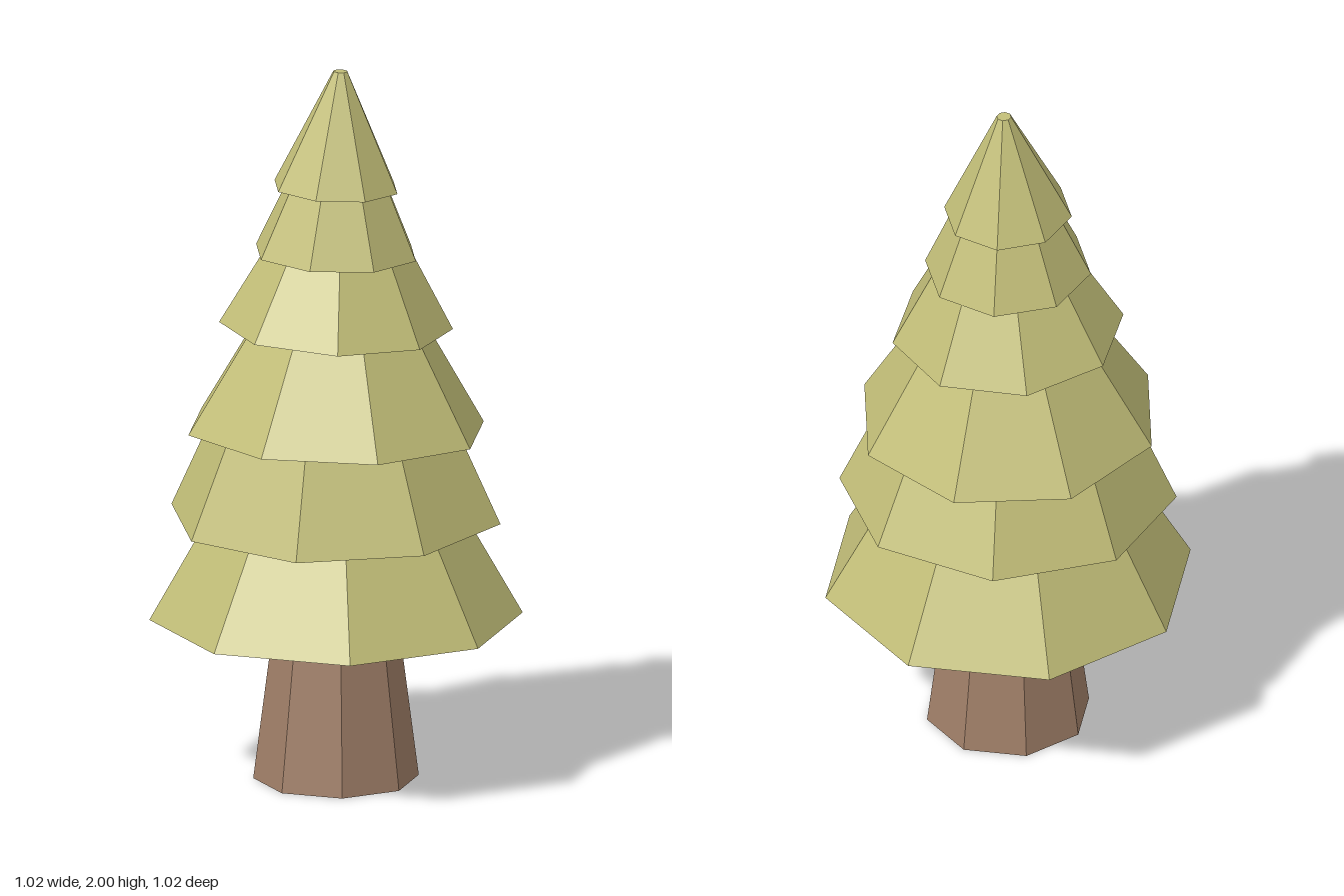
import * as THREE from 'three';

const SIDES = 8;

// Faceted eight-sided solid of revolution; angle places the first corner, from +x towards +z
function faceted(profile, angle, material, name) {
  const points = profile.map(([r, y]) => new THREE.Vector2(r, y));
  const start = Math.PI / 2 - THREE.MathUtils.degToRad(angle);
  const geometry = new THREE.LatheGeometry(points, SIDES, start).toNonIndexed();
  geometry.computeVertexNormals();
  const mesh = new THREE.Mesh(geometry, material);
  mesh.name = name;
  return mesh;
}

export function createModel() {
  const tree = new THREE.Group();
  tree.name = 'pineTree';

  const leaf = new THREE.MeshStandardMaterial({ color: 0xc2be78 });
  leaf.name = 'leaf';
  const bark = new THREE.MeshStandardMaterial({ color: 0xa07f68 });
  bark.name = 'bark';

  // Tapered trunk, ending inside the lowest tier
  tree.add(faceted([[0, 0], [0.227, 0], [0.15, 0.6], [0, 0.6]], 0, bark, 'trunk'));

  // Tiers: base height, rim radius, top height, top radius, turn in degrees, slopes along x and z
  const tiers = [
    [0.455, 0.512, 0.83, 0.3, 0, 0, 0],
    [0.745, 0.463, 1.06, 0.32, 18, -0.012, -0.03],
    [0.988, 0.42, 1.33, 0.215, 33.5, 0, 0.033],
    [1.28, 0.32, 1.53, 0.18, 3.5, -0.025, 0.025],
    [1.487, 0.23, 1.71, 0.13, 22.5, -0.012, 0.03],
    [1.673, 0.177, 2, 0.02, 22.5, -0.015, 0.04],
  ];

  tiers.forEach(([base, rim, top, topRadius, turn, slopeX, slopeZ], i) => {
    const height = top - base;
    // Shallow hollow underneath, flat rim, sloping sides and a cap
    const profile = [
      [0, rim * 0.21], [rim * 0.55, rim * 0.21], [rim * 0.74, 0],
      [rim, 0], [topRadius, height], [0, height],
    ];
    const tier = faceted(profile, turn, leaf, `foliageTier${i + 1}`);
    tier.position.y = base;
    tier.rotation.set(-slopeZ, 0, slopeX);
    tree.add(tier);
  });

  return tree;
}
